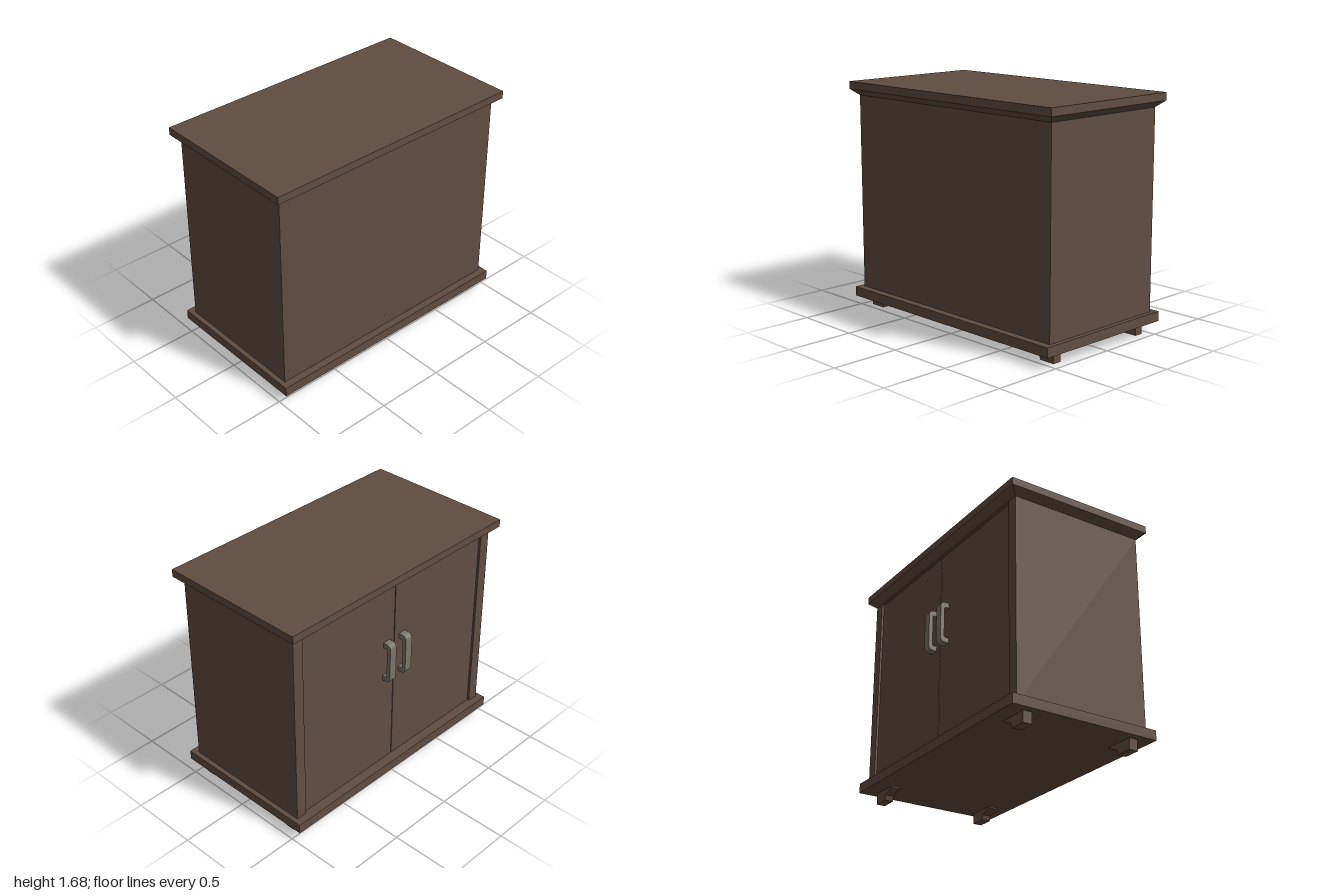
import * as THREE from 'three';

const wood = new THREE.MeshStandardMaterial({ color: 0x604d40 });
wood.name = 'brown wood';
const metal = new THREE.MeshStandardMaterial({ color: 0x7c7568 });
metal.name = 'grey metal';

// Box given by its lower and upper corners
function box(name, [x0, y0, z0], [x1, y1, z1], material = wood) {
  const mesh = new THREE.Mesh(new THREE.BoxGeometry(x1 - x0, y1 - y0, z1 - z0), material);
  mesh.position.set((x0 + x1) / 2, (y0 + y1) / 2, (z0 + z1) / 2);
  mesh.name = name;
  return mesh;
}

// Bevelled moulding: a box whose lower rim is drawn in to the cabinet walls
function moulding() {
  let geo = new THREE.BoxGeometry(2, 0.045, 1.12);
  const p = geo.attributes.position;
  for (let i = 0; i < p.count; i++) {
    if (p.getY(i) < 0) p.setXYZ(i, Math.sign(p.getX(i)) * 0.95, p.getY(i), Math.sign(p.getZ(i)) * 0.505);
  }
  geo = geo.toNonIndexed();
  geo.computeVertexNormals();
  const mesh = new THREE.Mesh(geo, wood);
  mesh.position.y = 1.6025;
  mesh.name = 'topMoulding';
  return mesh;
}

// Bracket foot with a sloped inner shoulder
function foot(side, z) {
  const points = [[0.93, 0], [0.93, 0.08], [0.72, 0.08], [0.72, 0.07], [0.8, 0.036], [0.81, 0]];
  const shape = new THREE.Shape(points.map(([x, y]) => new THREE.Vector2(x * side, y)));
  const mesh = new THREE.Mesh(new THREE.ExtrudeGeometry(shape, { depth: 0.066, bevelEnabled: false }), wood);
  mesh.position.z = z - 0.033;
  mesh.name = 'foot';
  return mesh;
}

// Flat pull handle: a rounded U profile extruded sideways
function handle(x) {
  const s = new THREE.Shape();
  s.moveTo(0, -0.153);
  s.lineTo(0.03, -0.153);
  s.absarc(0.03, -0.118, 0.035, -Math.PI / 2, 0, false);
  s.lineTo(0.065, 0.118);
  s.absarc(0.03, 0.118, 0.035, 0, Math.PI / 2, false);
  s.lineTo(0, 0.153);
  s.lineTo(0, 0.115);
  s.lineTo(0.028, 0.115);
  s.lineTo(0.035, 0.108);
  s.lineTo(0.035, -0.108);
  s.lineTo(0.028, -0.115);
  s.lineTo(0, -0.115);
  const geo = new THREE.ExtrudeGeometry(s, { depth: 0.06, bevelEnabled: false, curveSegments: 8 });
  geo.translate(0, 0, -0.03);
  geo.rotateY(Math.PI / 2);
  const mesh = new THREE.Mesh(geo, metal);
  mesh.position.set(x, 1.008, -0.491);
  mesh.name = 'handle';
  return mesh;
}

export function createModel() {
  const model = new THREE.Group();
  model.name = 'cabinet';
  model.add(
    box('topBoard', [-1, 1.625, -0.56], [1, 1.68, 0.56]),
    moulding(),
    box('carcass', [-0.95, 0.15, -0.47], [0.95, 1.58, 0.505]),
    box('plinth', [-0.985, 0.08, -0.56], [0.985, 0.15, 0.56]),
  );

  // Stiles, slightly recessed doors, handles and feet on both sides
  for (const side of [-1, 1]) {
    const span = (a, b) => [Math.min(a * side, b * side), Math.max(a * side, b * side)];
    const [s0, s1] = span(0.868, 0.95);
    const [d0, d1] = span(0.003, 0.865);
    model.add(
      box('doorStile', [s0, 0.15, -0.505], [s1, 1.58, -0.47]),
      box('door', [d0, 0.153, -0.491], [d1, 1.572, -0.47]),
      handle(side * 0.078),
      foot(side, 0.412),
      foot(side, -0.412),
    );
  }
  return model;
}
